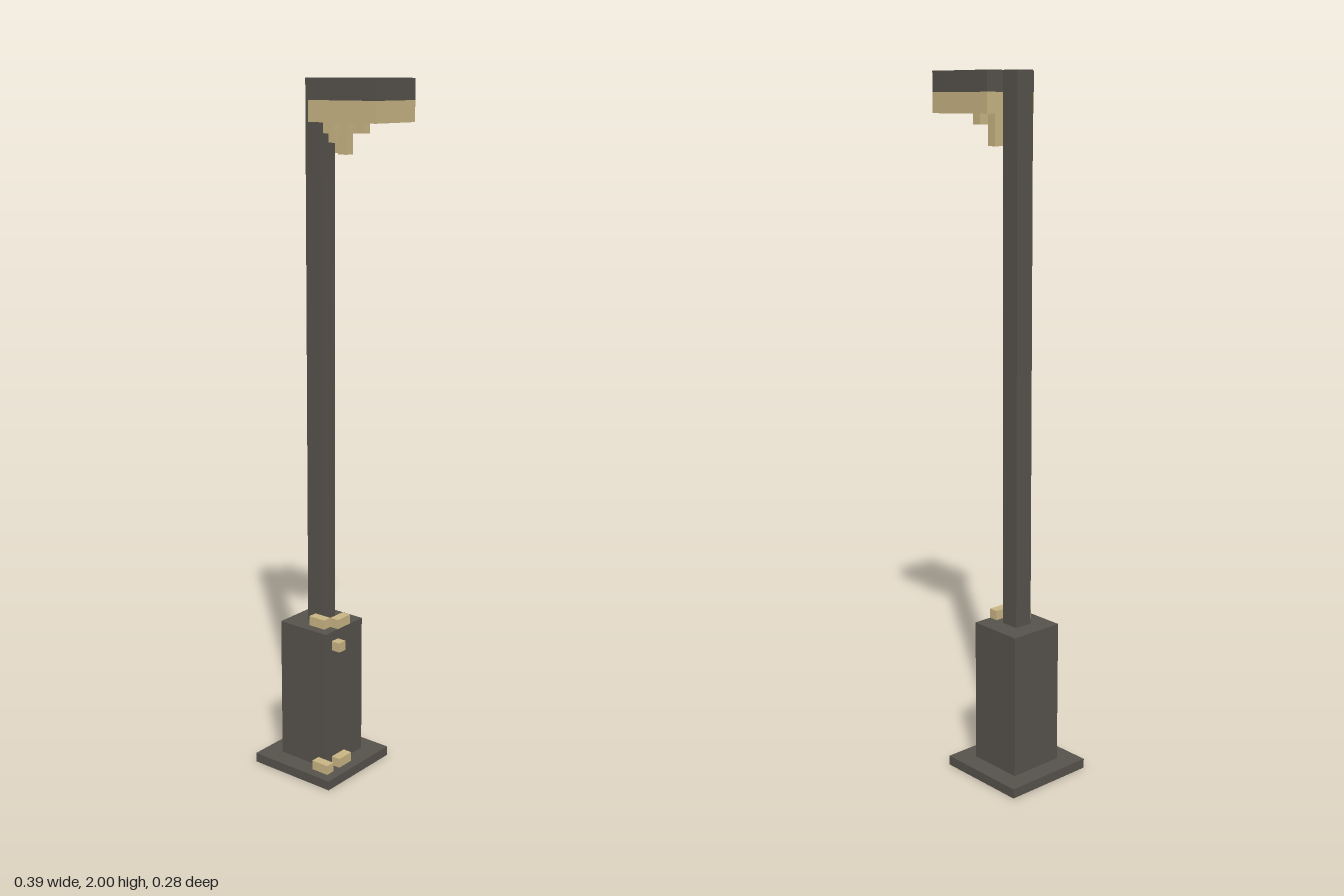
import * as THREE from 'three';

const V = 2 / 71; // edge of one building block

export function createModel() {
  const model = new THREE.Group();
  model.name = 'streetLamp';
  const iron = new THREE.MeshStandardMaterial({ color: 0x57534d });
  iron.name = 'dark iron';
  const sand = new THREE.MeshStandardMaterial({ color: 0xc9b584 });
  sand.name = 'sandy yellow';

  // Box given by its lowest grid corner and its size, both counted in blocks
  function block(name, material, [x, y, z], [w, h, d], parent = model) {
    const mesh = new THREE.Mesh(new THREE.BoxGeometry(w * V, h * V, d * V), material);
    mesh.position.set((x + w / 2 - 7) * V, (y + h / 2) * V, (z + d / 2 - 5) * V);
    mesh.name = name;
    parent.add(mesh);
  }

  // Post
  block('basePlate', iron, [0, 0, 0], [10, 1, 10]);
  block('pedestal', iron, [2, 1, 2], [6, 15, 6]);
  block('pole', iron, [4, 16, 4], [2, 55, 2]);

  // Lamp head
  block('lampCap', iron, [6, 69, 2], [8, 2, 6]);
  block('lampGlass', sand, [6, 67, 2], [8, 2, 6]);

  // Small lumps resting on the plate and pedestal
  const lumps = new THREE.Group();
  lumps.name = 'lumps';
  model.add(lumps);
  block('plateLumpFront', sand, [7, 1, 8], [2, 1, 1], lumps);
  block('plateLumpSide', sand, [8, 1, 5], [1, 1, 2], lumps);
  block('pedestalKnob', sand, [8, 14, 6], [1, 1, 1], lumps);
  block('pedestalLumpFront', sand, [5, 16, 6], [2, 1, 1], lumps);
  block('pedestalLumpSide', sand, [7, 16, 4], [1, 1, 2], lumps);

  // Drips under the lamp: column, row, length
  const drips = new THREE.Group();
  drips.name = 'drips';
  model.add(drips);
  const dripCells = [
    [6, 3, 3], [6, 4, 2], [7, 2, 1], [7, 4, 1], [7, 6, 1], [8, 3, 1],
    [8, 5, 3], [8, 7, 1], [9, 4, 1], [9, 6, 1], [10, 5, 1],
  ];
  for (const [x, z, length] of dripCells) {
    block('drip', sand, [x, 67 - length, z], [1, length, 1], drips);
  }

  return model;
}
